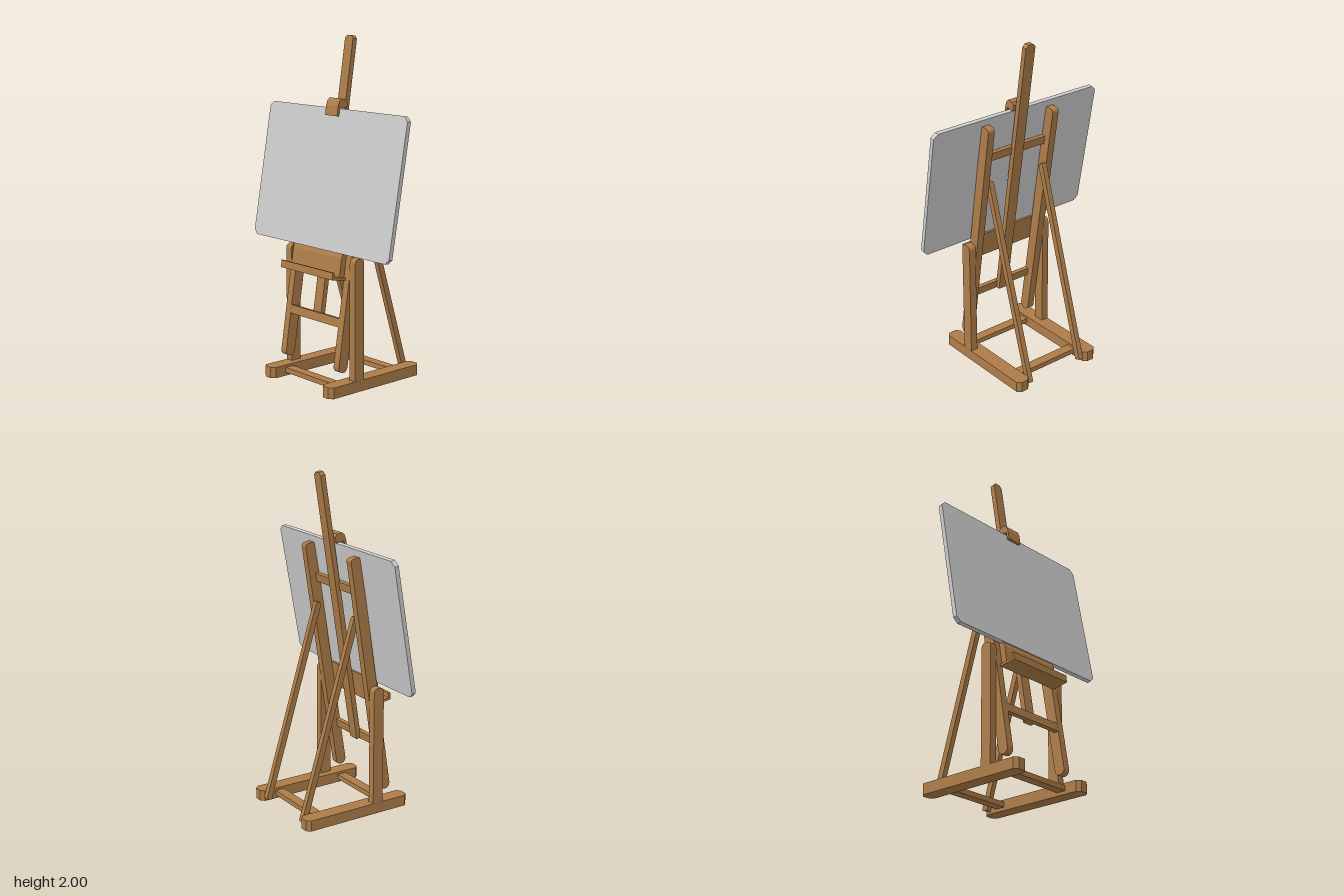
import * as THREE from 'three';

const wood = new THREE.MeshStandardMaterial({ color: 0xad7c48, flatShading: true });
const grey = new THREE.MeshStandardMaterial({ color: 0xcccccc, flatShading: true });

function add(parent, name, geometry, x, y, z, material = wood) {
  const mesh = new THREE.Mesh(geometry, material);
  mesh.name = name;
  mesh.position.set(x, y, z);
  parent.add(mesh);
  return mesh;
}

const box = (w, h, d) => new THREE.BoxGeometry(w, h, d);

// Extrude a closed outline of [x, y] points, centred on its depth
function extrude(points, depth) {
  const shape = new THREE.Shape(points.map(([x, y]) => new THREE.Vector2(x, y)));
  return new THREE.ExtrudeGeometry(shape, { depth, bevelEnabled: false }).translate(0, 0, -depth / 2);
}

// Centred board, its corners cut by small faceted arcs at the top and bottom
function board(w, h, depth, top, bottom, steps = 1) {
  const points = [];
  [[1, 1, top], [-1, 1, top], [-1, -1, bottom], [1, -1, bottom]].forEach(([sx, sy, r], corner) => {
    if (r === 0) {
      points.push([sx * w / 2, sy * h / 2]);
      return;
    }
    for (let i = 0; i <= steps; i++) {
      const a = (corner + i / steps) * Math.PI / 2;
      points.push([sx * (w / 2 - r) + r * Math.cos(a), sy * (h / 2 - r) + r * Math.sin(a)]);
    }
  });
  return extrude(points, depth);
}

// Side profile given as [z, y], extruded across x
const profile = (points, width) => extrude(points.map(([z, y]) => [-z, y]).reverse(), width).rotateY(Math.PI / 2);

export function createModel() {
  const easel = new THREE.Group();
  easel.name = 'easel';

  // Tilted frame: local y runs up the slope, local z faces its front
  const frame = new THREE.Group();
  frame.name = 'tiltedFrame';
  frame.position.z = 0.241;
  frame.rotation.x = -0.156;
  easel.add(frame);

  for (const [side, s] of [['left', 1], ['right', -1]]) {
    // Floor runner with corners cut in plan
    add(easel, side + 'Foot', board(0.09, 0.704, 0.065, 0.022, 0.022).rotateX(-Math.PI / 2), s * 0.2565, 0.0325, 0);
    // Upright with rounded head
    add(easel, side + 'Post', board(0.068, 0.715, 0.045, 0.026, 0, 3).rotateY(Math.PI / 2), s * 0.2785, 0.4175, 0.135);
    // Slanted leg, rounded at the foot
    add(frame, side + 'Leg', board(0.066, 1.445, 0.045, 0.018, 0.03, 3).rotateY(Math.PI / 2), s * 0.2325, 0.8425, 0);
    // Rear brace
    const brace = add(easel, side + 'Brace', board(0.036, 1.225, 0.032, 0.012, 0, 2).rotateY(Math.PI / 2), s * 0.196, 0.604, -0.14);
    brace.rotation.x = Math.atan(0.306);
  }

  // Base stretchers
  for (const [name, z] of [['frontStretcher', 0.225], ['rearStretcher', -0.225]]) {
    add(easel, name, box(0.43, 0.03, 0.06), 0, 0.035, z);
  }

  // Rails between the slanted legs
  for (const [name, y] of [['lowerRail', 0.4], ['upperRail', 1.35]]) {
    add(frame, name, box(0.43, 0.05, 0.025), 0, y, 0.02);
  }

  // Sliding mast
  add(frame, 'mast', board(0.067, 1.645, 0.031, 0.017, 0), 0, 1.2, -0.001);

  // Tray: bevelled backing plate, floor and front lip
  add(frame, 'trayBack', profile([[0.032, 0.648], [0.069, 0.648], [0.069, 0.768], [0.06, 0.802], [0.032, 0.802]], 0.42), 0, 0, 0);
  add(frame, 'tray', profile([
    [0.032, 0.647], [0.134, 0.647], [0.137, 0.69], [0.123, 0.69], [0.119, 0.662], [0.032, 0.662],
  ], 0.45), 0, 0, 0);

  // Top clamp hooking over the panel
  add(frame, 'topClamp', profile([
    [0.014, 1.608], [0.068, 1.608], [0.068, 1.556], [0.083, 1.556], [0.083, 1.615],
    [0.076, 1.645], [0.064, 1.658], [0.03, 1.658], [0.014, 1.645],
  ], 0.102), 0, 0, 0);

  // Panel resting on the easel
  const panel = add(easel, 'panel', board(1.168, 0.808, 0.026, 0.028, 0.028), 0, 1.19, 0.103, grey);
  panel.rotation.x = -0.176;

  return easel;
}
